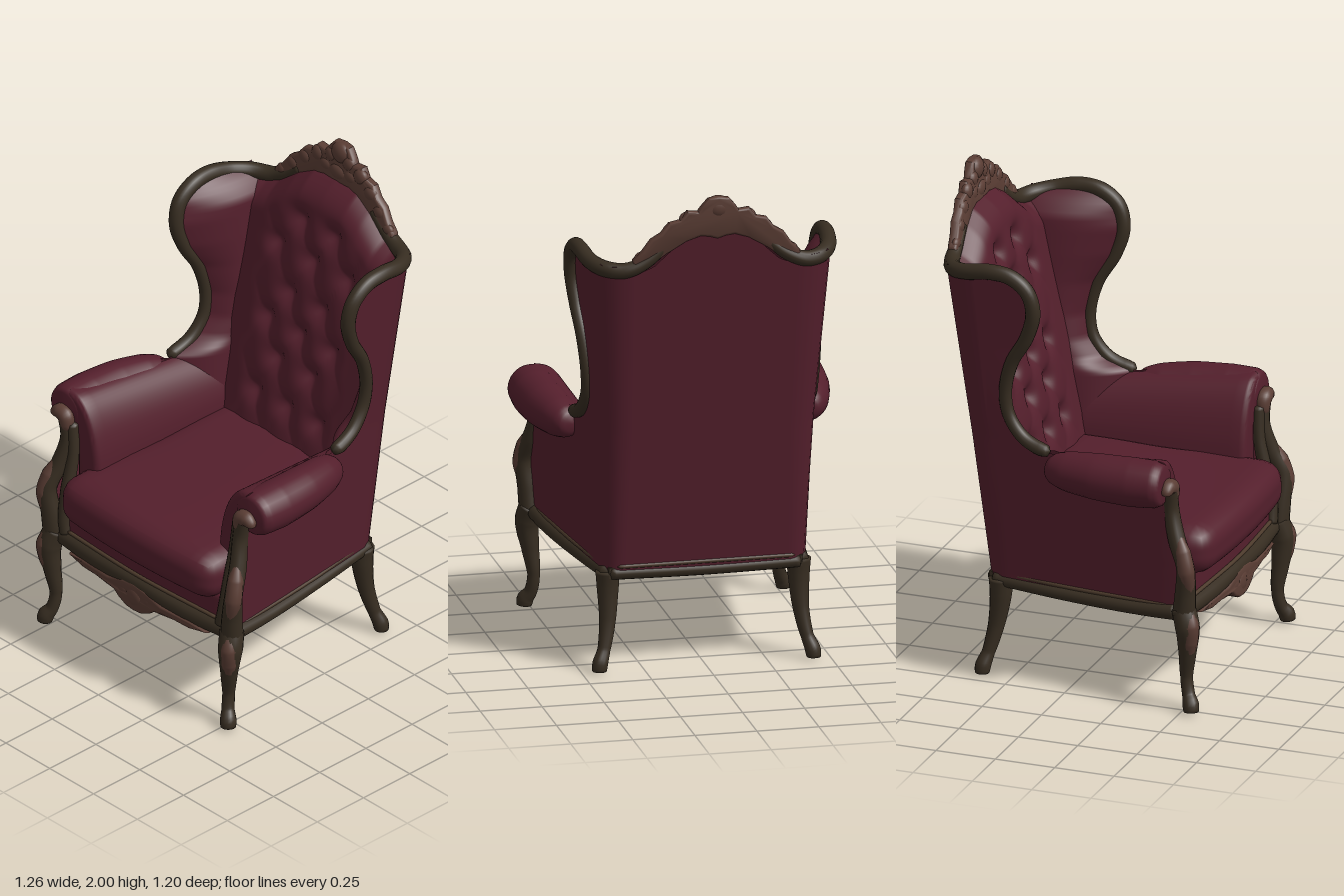
import * as THREE from 'three';
import { mergeVertices, toCreasedNormals } from 'three/addons/utils/BufferGeometryUtils.js';

const mat = (name, color, side = THREE.FrontSide) => {
  const m = new THREE.MeshStandardMaterial({ color, side });
  m.name = name;
  return m;
};
const fabric = mat('burgundy fabric', 0x541f2c, THREE.DoubleSide);
const wood = mat('dark wood', 0x372d21);
const carved = mat('carved reddish wood', 0x5a3d34);
const trim = mat('brown trim', 0x4c3a2b);

const clamp = THREE.MathUtils.clamp, lerp = THREE.MathUtils.lerp, smooth = THREE.MathUtils.smoothstep;
// piecewise linear lookup in [[x, y], ...]
function lin(table, x) {
  for (let i = 1; i < table.length; i++) {
    const [a, b] = [table[i - 1], table[i]];
    if (x <= b[0]) return lerp(a[1], b[1], clamp((x - a[0]) / (b[0] - a[0]), 0, 1));
  }
  return table[table.length - 1][1];
}
function weld(geo) {
  geo.deleteAttribute('uv');
  geo.deleteAttribute('normal');
  const g = mergeVertices(geo, 1e-5);
  g.computeVertexNormals();
  return g;
}
function bend(geo, rule) {
  const p = geo.attributes.position, v = new THREE.Vector3();
  for (let i = 0; i < p.count; i++) {
    rule(v.fromBufferAttribute(p, i));
    p.setXYZ(i, v.x, v.y, v.z);
  }
  return geo;
}
function sheet(nu, nv, f) {
  const pos = [], idx = [];
  for (let j = 0; j <= nv; j++) for (let i = 0; i <= nu; i++) {
    pos.push(...f(i / nu, j / nv));
    if (i < nu && j < nv) {
      const a = j * (nu + 1) + i, b = a + nu + 1;
      idx.push(a, a + 1, b, a + 1, b + 1, b);
    }
  }
  const g = new THREE.BufferGeometry();
  g.setAttribute('position', new THREE.Float32BufferAttribute(pos, 3));
  g.setIndex(idx);
  g.computeVertexNormals();
  return g;
}
// round bar through [x, y, z, radius] stations, mirrored when side = -1
function bar(stations, side = 1, n = 48, m = 14) {
  const curve = new THREE.CatmullRomCurve3(stations.map(([x, y, z]) => new THREE.Vector3(x * side, y, z)));
  const radii = stations.map((s, i) => [i, s[3]]);
  const g = new THREE.TubeGeometry(curve, n, 1, m), c = new THREE.Vector3();
  let i = 0;
  bend(g, v => {
    const k = Math.floor(i++ / (m + 1));
    curve.getPointAt(k / n, c);
    const r = k === 0 || k === n ? 0 : lin(radii, curve.getUtoTmapping(k / n) * (stations.length - 1));
    v.sub(c).multiplyScalar(r).add(c);
  });
  return weld(g);
}
function pillow(w, h, d, r, n = 22) {
  const q = new THREE.Vector3(), lim = new THREE.Vector3(w / 2 - r, h / 2 - r, d / 2 - r);
  return bend(new THREE.BoxGeometry(w, h, d, n, n, n), v => {
    q.copy(v).clamp(lim.clone().negate(), lim);
    v.sub(q).normalize().multiplyScalar(r).add(q);
  });
}
function plate(points, depth, bevel) {
  const all = [...points, ...points.slice(0, -1).reverse().map(([x, y]) => [-x, y])];
  const shape = new THREE.Shape(all.map(p => new THREE.Vector2(...p)));
  return new THREE.ExtrudeGeometry(shape, { depth, bevelThickness: bevel, bevelSize: bevel, bevelSegments: 4, steps: 1 });
}

// ---- layout rules for the upholstered shell ----
const WING = [[1.0, -0.08], [1.04, -0.19], [1.12, -0.25], [1.22, -0.265], [1.35, -0.235], [1.47, -0.165],
  [1.58, -0.135], [1.67, -0.16], [1.725, -0.23]];
const FRONT = [[0.4, 0.46], [0.6, 0.5], [0.75, 0.46], [0.9, 0.435], [0.98, 0.42], [0.985, -0.08], ...WING];
const TOP = [[0, 1.85], [0.12, 1.84], [0.2, 1.795], [0.3, 1.715], [0.36, 1.695], [0.5, 1.715]];
const halfWidth = y => lin([[0.42, 0.41], [1, 0.435], [1.72, 0.49]], y);
const backZ = y => -0.366 - (y - 0.42) * 0.142;
const padZ = y => -0.235 - (y - 0.76) * 0.226;
const sideX = (y, z) => halfWidth(y) + 0.09 * clamp((z + 0.35) / 0.8, 0, 1) * clamp((1.4 - y) / 0.4, 0, 1);

function outerShell(u, t) {
  const side = u < 0.5 ? -1 : 1, s = Math.abs(u * 2 - 1);
  const y = lerp(0.41, s < 0.5 ? lin(TOP, s * 0.82) : 1.72, t), w = halfWidth(y), zb = backZ(y), r = 0.07 + 0.075 * t;
  if (s < 0.5) return [side * (w - r) * s * 2, y, zb];
  if (s < 0.62) {
    const a = (s - 0.5) / 0.12 * Math.PI / 2;
    return [side * (w - r + r * Math.sin(a)), y, zb + r - r * Math.cos(a)];
  }
  const z = lerp(zb + r, lin(FRONT, y), (s - 0.62) / 0.38);
  return [side * sideX(y, z), y, z];
}

// deep tufting: round dimples joined by soft diagonal folds
const TUFTS = [];
[[1.65, 0.09], [1.51, 0.2], [1.34, 0.09], [1.2, 0.18], [1.06, 0.095], [0.89, 0.175]].forEach(([y, x], i) => {
  TUFTS.push([x, y], [-x, y]);
  if (i % 2) TUFTS.push([0, y]);
});
function tuftedZ(x, y) {
  const p = x / 0.095, q = (y - 0.89) / 0.153;
  const fold = Math.abs(Math.sin((p + q) * Math.PI / 2) * Math.sin((p - q) * Math.PI / 2)) ** 0.7;
  const inside = smooth(0.3 - Math.abs(x), 0, 0.1) * smooth(1.72 - y, 0, 0.08);
  let z = padZ(y) + 0.012 * (1 - (x / 0.4) ** 2) + 0.01 * (fold - 0.5) * inside;
  for (const [bx, by] of TUFTS) z -= 0.034 * Math.exp(-((x - bx) ** 2 + (y - by) ** 2) / 0.0019);
  return z;
}

export function createModel() {
  const model = new THREE.Group();
  const add = (name, geo, material) => {
    const m = new THREE.Mesh(geo, material);
    m.name = name;
    model.add(m);
    return m;
  };

  // Upholstery
  add('outerUpholstery', sheet(100, 70, outerShell), fabric);
  add('tuftedBack', sheet(90, 120, (u, v) => {
    const a = u * 2 - 1, top = lin(TOP, Math.abs(a) * 0.42);
    const y = lerp(0.6, top, v), x = a * lin([[0.6, 0.36], [1.7, 0.42]], y);
    return [x, y, lerp(tuftedZ(x, y), backZ(y) + 0.015, clamp((v - 0.9) / 0.1, 0, 1) ** 2.5)];
  }), fabric);
  add('seatCushion', weld(bend(pillow(0.88, 0.2, 0.88, 0.085), v => {
    const cx = 1 - (v.x / 0.44) ** 2, front = clamp(v.z / 0.44, 0, 1);
    v.x *= 1 - 0.15 * smooth(-v.z, -0.3, 0.1);
    v.y += 0.63 + (v.y > 0 ? 0.012 * cx + 0.026 * smooth(-v.z, -0.44, 0.3) : 0);
    v.z += 0.13 + 0.03 * cx * front;
  })), fabric);
  add('seatFront', weld(bend(pillow(0.92, 0.16, 0.3, 0.03), v => {
    v.y += 0.49;
    v.z += 0.35 + 0.03 * (1 - (v.x / 0.46) ** 2);
  })), fabric);

  // Seat base
  const base = new THREE.Shape([[-0.47, -0.5], [0.47, -0.5], [0.39, 0.36], [-0.39, 0.36]].map(p => new THREE.Vector2(...p)));
  add('seatBase', new THREE.ExtrudeGeometry(base, { depth: 0.045, bevelEnabled: false })
    .rotateX(-Math.PI / 2).translate(0, 0.38, 0), wood);
  add('frontRail', bar([[-0.5, 0.415, 0.49, 0.038], [-0.25, 0.418, 0.513, 0.042], [0, 0.428, 0.525, 0.038],
    [0.25, 0.418, 0.513, 0.042], [0.5, 0.415, 0.49, 0.038]]), wood);
  add('backRail', bar([[-0.395, 0.4, -0.342, 0.028], [0, 0.395, -0.342, 0.028], [0.395, 0.4, -0.342, 0.028]]), wood);
  add('backTrim', bar([[-0.36, 0.43, -0.364, 0.009], [0, 0.43, -0.364, 0.009], [0.36, 0.43, -0.364, 0.009]]), trim);
  add('frontTrim', bar([[-0.43, 0.458, 0.512, 0.008], [0, 0.466, 0.538, 0.008], [0.43, 0.458, 0.512, 0.008]]), trim);

  // Carved apron under the front rail
  const apron = plate([[0, 0.322], [0.04, 0.326], [0.08, 0.345], [0.11, 0.368], [0.16, 0.372], [0.22, 0.378],
    [0.3, 0.374], [0.38, 0.38], [0.3, 0.388], [0.15, 0.39], [0.06, 0.42], [0, 0.425]], 0.03, 0.012);
  add('apron', toCreasedNormals(bend(apron, v => { v.z += 0.488 + 0.035 * (1 - (v.x / 0.45) ** 2); }), 0.7), carved);
  for (const [x, y, r] of [[0, 0.37, 0.045], [0.07, 0.378, 0.026], [-0.07, 0.378, 0.026]]) {
    const lump = add('apronShell', new THREE.SphereGeometry(r, 18, 12), carved);
    lump.position.set(x, y, 0.553);
    lump.scale.z = 0.35;
  }

  // Carved crest leaning back over the top
  const lean = y => -0.54 - (y - 1.75) * 0.165;
  const crest = plate([[0, 1.985], [0.035, 1.98], [0.06, 1.95], [0.075, 1.925], [0.12, 1.93], [0.145, 1.895],
    [0.19, 1.885], [0.22, 1.845], [0.26, 1.82], [0.29, 1.775], [0.325, 1.74], [0.33, 1.705], [0.29, 1.715],
    [0.21, 1.775], [0.13, 1.825], [0.07, 1.845], [0.03, 1.84], [0, 1.83]], 0.016, 0.012);
  add('crest', toCreasedNormals(bend(crest, v => { v.z += lean(v.y) - 0.008; }), 0.7), carved);
  const lumps = [[0, 1.952, 0.046, 1.1], [0, 1.87, 0.036, 1.4], [0.05, 1.925, 0.034, 1], [0.07, 1.875, 0.03, 1.3], [0.12, 1.9, 0.036, 1],
    [0.185, 1.855, 0.033, 1.1], [0.245, 1.8, 0.031, 1.1], [0.3, 1.748, 0.027, 1.1]];
  for (const [x, y, r, k] of lumps) for (const side of x ? [-1, 1] : [1]) {
    const lump = add('crestCarving', new THREE.SphereGeometry(r, 18, 12), carved);
    lump.position.set(x * side, y, lean(y) + 0.006);
    lump.scale.set(k, 1, 0.65);
  }

  // Parts that occur on both sides
  for (const side of [-1, 1]) {
    add('wingPad', sheet(36, 60, (u, v) => {
      const y = lerp(0.8, 1.725, v), z = lerp(padZ(y) - 0.06, lin(WING, y), u);
      const seam = lin([[0.76, 0.32], [1.2, 0.345], [1.7, 0.365]], y), xo = sideX(y, z) - 0.004;
      const close = Math.sqrt(clamp((1.73 - y) / 0.1, 0, 1));
      return [side * (xo - (xo - seam) * (1 - u ** 2.2) * close), y, z];
    }), fabric);

    // Arm: inner padding with a rolled top
    const outline = new THREE.SplineCurve([[0.352, 0.45], [0.35, 0.72], [0.368, 0.86], [0.405, 0.96], [0.455, 1.02], [0.51, 1.037]]
      .map(p => new THREE.Vector2(...p))).getPoints(24);
    const armShape = new THREE.Shape([...outline, new THREE.Vector2(0.51, 0.9), new THREE.Vector2(0.455, 0.84), new THREE.Vector2(0.455, 0.45)]
      .map(p => new THREE.Vector2(p.x * side, p.y)));
    const arm = new THREE.ExtrudeGeometry(armShape, { depth: 0.67, steps: 16, bevelThickness: 0.025, bevelSize: 0.025, bevelOffset: -0.018, bevelSegments: 4 });
    add('armPad', toCreasedNormals(bend(arm, v => {
      v.z -= 0.265;
      const k = clamp((0.43 - v.z) / 0.7, 0, 1);
      v.x -= side * 0.03 * k;
      if (v.y > 0.8) v.y -= 0.06 * k * (v.y - 0.8) / 0.23;
      const limit = sideX(v.y, v.z) - 0.012 + 0.1 * smooth(v.z, -0.06, 0.1);
      v.x = clamp(v.x, -limit, limit);
    }), 0.6), fabric);
    add('armRoll', bar([[0.53, 0.95, 0.442, 0.05], [0.53, 0.95, 0.43, 0.08], [0.53, 0.95, 0.4, 0.094], [0.53, 0.947, 0.3, 0.099],
      [0.522, 0.945, 0.15, 0.093], [0.5, 0.94, 0.02, 0.08], [0.483, 0.937, -0.04, 0.064], [0.474, 0.937, -0.065, 0.045],
      [0.47, 0.937, -0.078, 0.015]], side, 64, 24), fabric);

    // Frame running from the crest round the wing to the arm
    add('wingFrame', bar([[0.2, 1.8, -0.545, 0.02], [0.28, 1.735, -0.54, 0.027], [0.36, 1.7, -0.528, 0.032], [0.43, 1.7, -0.493, 0.033],
      [0.477, 1.713, -0.423, 0.032], [0.495, 1.733, -0.32, 0.032], [0.496, 1.723, -0.23, 0.032], [0.496, 1.67, -0.16, 0.031],
      [0.49, 1.58, -0.137, 0.03], [0.48, 1.47, -0.167, 0.028], [0.468, 1.35, -0.235, 0.027], [0.458, 1.22, -0.265, 0.026],
      [0.454, 1.12, -0.25, 0.026], [0.46, 1.04, -0.19, 0.027], [0.468, 1.003, -0.11, 0.028], [0.47, 1.0, -0.07, 0.02]], side, 110), wood);

    // Arm front: outer stile, inner band and carvings
    add('armStile', bar([[0.51, 0.95, 0.45, 0.03], [0.492, 0.84, 0.448, 0.031], [0.51, 0.72, 0.478, 0.035],
      [0.53, 0.62, 0.52, 0.036], [0.515, 0.5, 0.515, 0.042], [0.505, 0.4, 0.505, 0.048]], side), wood);
    add('stileBand', bar([[0.475, 0.92, 0.44, 0.024], [0.462, 0.78, 0.448, 0.024], [0.462, 0.62, 0.48, 0.028],
      [0.455, 0.5, 0.5, 0.028], [0.44, 0.43, 0.505, 0.026]], side), wood);
    add('stileCarving', bar([[0.512, 0.75, 0.483, 0.012], [0.53, 0.68, 0.51, 0.032], [0.54, 0.6, 0.53, 0.034],
      [0.522, 0.5, 0.532, 0.02]], side), carved);
    add('armScroll', bar([[0.505, 0.86, 0.455, 0.012], [0.492, 0.9, 0.452, 0.028], [0.502, 0.937, 0.45, 0.034], [0.535, 0.945, 0.45, 0.032],
      [0.56, 0.93, 0.452, 0.022], [0.567, 0.918, 0.452, 0.01]], side, 40), carved);

    // Side rail with trim
    add('sideRail', bar([[0.39, 0.4, -0.35, 0.028], [0.438, 0.393, 0, 0.028], [0.478, 0.398, 0.3, 0.029], [0.495, 0.41, 0.49, 0.034]], side), wood);
    add('sideTrim', bar([[0.405, 0.43, -0.3, 0.009], [0.447, 0.427, 0, 0.009], [0.494, 0.432, 0.44, 0.009]], side), trim);

    // Curved legs
    add('frontLeg', bar([[0.5, 0.44, 0.5, 0.05], [0.516, 0.36, 0.524, 0.05], [0.505, 0.25, 0.52, 0.036], [0.493, 0.14, 0.512, 0.025],
      [0.502, 0.07, 0.524, 0.026], [0.52, 0.035, 0.54, 0.034], [0.524, 0.01, 0.543, 0.031], [0.524, 0, 0.543, 0.024]], side), wood);
    add('kneeCarving', bar([[0.512, 0.44, 0.525, 0.02], [0.526, 0.37, 0.54, 0.036], [0.52, 0.3, 0.534, 0.034],
      [0.506, 0.21, 0.523, 0.016]], side), carved);
    add('backLeg', bar([[0.385, 0.41, -0.312, 0.05], [0.385, 0.33, -0.313, 0.044], [0.39, 0.2, -0.33, 0.033], [0.41, 0.09, -0.355, 0.026],
      [0.428, 0.04, -0.37, 0.032], [0.432, 0.012, -0.373, 0.03], [0.432, 0, -0.373, 0.024]], side), wood);
  }
  return model;
}
